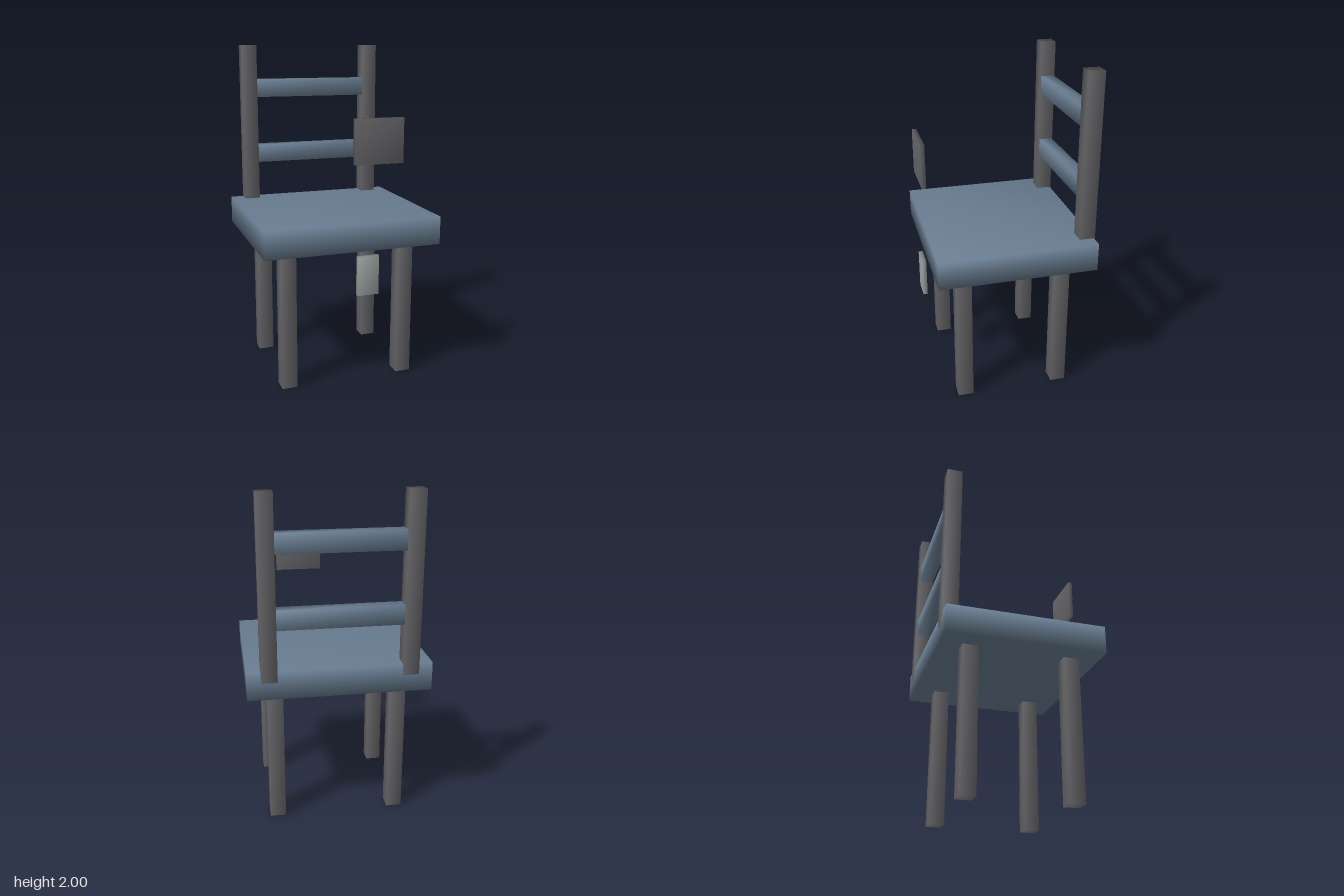
import * as THREE from 'three';
import { mergeVertices } from 'three/addons/utils/BufferGeometryUtils.js';

const wood = new THREE.MeshStandardMaterial({ color: 0x646467 });
const blue = new THREE.MeshStandardMaterial({ color: 0x687c90 });
const pale = new THREE.MeshStandardMaterial({ color: 0x9ca3a2 });

// Box between two corners, with shared corners so the normals are smooth
function block(name, material, [x0, y0, z0], [x1, y1, z1]) {
  const box = new THREE.BoxGeometry(x1 - x0, y1 - y0, z1 - z0);
  box.deleteAttribute('normal');
  box.deleteAttribute('uv');
  const geometry = mergeVertices(box);
  geometry.computeVertexNormals();
  const mesh = new THREE.Mesh(geometry, material);
  mesh.name = name;
  mesh.position.set((x0 + x1) / 2, (y0 + y1) / 2, (z0 + z1) / 2);
  return mesh;
}

// Upright square bar centred on x, z
function bar(name, x, z, y0, y1) {
  const h = 0.047;
  return block(name, wood, [x - h, y0, z - h], [x + h, y1, z + h]);
}

export function createModel() {
  const chair = new THREE.Group();
  chair.name = 'chair';

  chair.add(block('seat', blue, [-0.533, 0.847, -0.483], [0.533, 1.015, 0.457]));

  // Legs and back posts, mirrored left and right
  for (const [side, s] of [['left', 1], ['right', -1]]) {
    chair.add(bar(`${side}FrontLeg`, s * 0.366, 0.29, 0, 0.86));
    chair.add(bar(`${side}BackLeg`, s * 0.366, -0.311, 0, 0.86));
    chair.add(bar(`${side}BackPost`, s * 0.406, -0.442, 0.95, 2));
  }

  // Back slats
  for (const [name, y] of [['lowerSlat', 1.253], ['upperSlat', 1.674]])
    chair.add(block(name, blue, [-0.361, y, -0.483], [0.361, y + 0.112, -0.4]));

  // Thin floating panels in front
  chair.add(block('upperPanel', wood, [-0.02, 1.354, 0.462], [0.27, 1.61, 0.488]));
  chair.add(block('lowerPanel', pale, [0.003, 0.592, 0.462], [0.132, 0.826, 0.488]));

  return chair;
}
